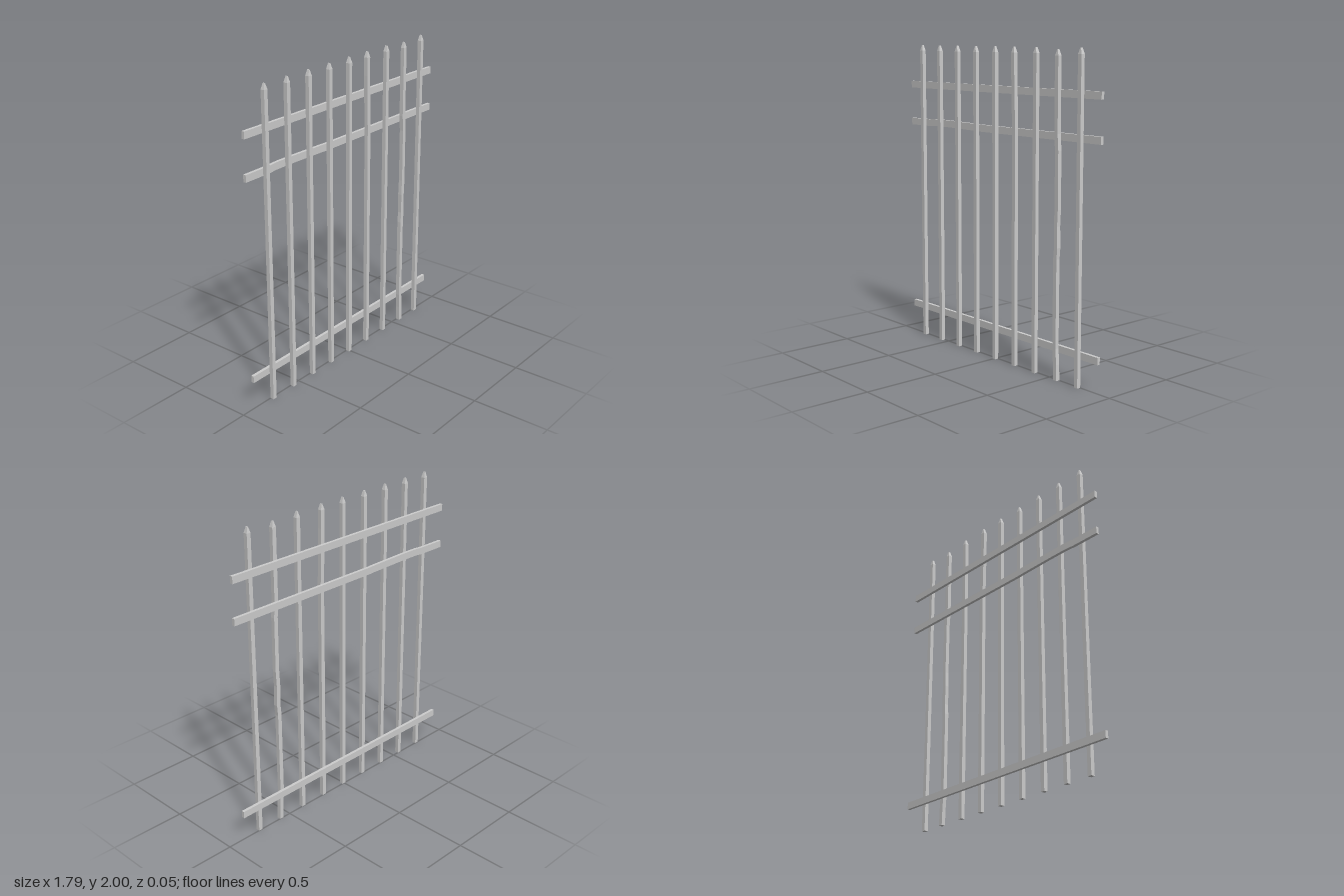
import * as THREE from 'three';

// Piecewise linear lookup through [position, offset] pairs
function offsetAt(path, t) {
  if (t <= path[0][0]) return path[0][1];
  for (let i = 1; i < path.length; i++) {
    const [a, u] = path[i - 1], [b, v] = path[i];
    if (t <= b) return u + (v - u) * (t - a) / (b - a);
  }
  return path[path.length - 1][1];
}

// Square post with a tapered tip, its centre line following a path of [y, x]
function picketGeometry(path, top) {
  const w = 0.028, d = 0.026, levels = [0, 0.1, 0.2, 0.5, 0.75, 0.82, 0.95, 1.05, 1.4, 1.5, 1.62, 1.85, top - 0.036, top];
  const g = new THREE.BoxGeometry(w, 1, d, 1, levels.length - 1, 1);
  const p = g.attributes.position;
  for (let i = 0; i < p.count; i++) {
    const k = Math.round((p.getY(i) + 0.5) * (levels.length - 1));
    const y = levels[k], tip = k === levels.length - 1;
    p.setXYZ(i, p.getX(i) * (tip ? 0.2 : 1) + offsetAt(path, y), y, p.getZ(i) * (tip ? 0.5 : 1));
  }
  const flat = g.toNonIndexed();
  flat.computeVertexNormals();
  return flat;
}

// Flat bar whose height wanders along a path of [x, y]
function railGeometry(path) {
  const g = new THREE.BoxGeometry(1.793, 0.045, 0.02, 36, 1, 1);
  const p = g.attributes.position;
  for (let i = 0; i < p.count; i++) p.setY(i, p.getY(i) + offsetAt(path, p.getX(i)));
  g.computeVertexNormals();
  return g;
}

export function createModel() {
  const model = new THREE.Group();
  const metal = new THREE.MeshStandardMaterial({ color: 0xcccccc });
  metal.name = 'lightGreyMetal';

  const add = (name, geometry, y, z) => {
    const mesh = new THREE.Mesh(geometry, metal);
    mesh.name = name;
    mesh.position.set(0, y, z);
    model.add(mesh);
  };

  // Pickets: most are straight, two are bent
  const bent = {
    5: [[0, 0.188], [1.5, 0.188], [1.62, 0.185], [1.85, 0.179], [2, 0.179]],
    7: [[0, 0.57], [0.1, 0.567], [0.2, 0.56], [0.75, 0.561], [0.82, 0.567],
      [0.95, 0.564], [1.05, 0.569], [1.4, 0.568], [1.5, 0.561], [2, 0.561]],
  };
  for (let i = 0; i < 9; i++) {
    const x = (i - 4) * 0.1865 + 0.002;
    add('picket' + (i + 1), picketGeometry(bent[i] || [[0, x]], i === 7 ? 1.988 : 2), 0, 0.011);
  }

  // Rails along the back; the middle one is slightly buckled
  add('bottomRail', railGeometry([[0, 0]]), 0.194, -0.014);
  add('middleRail', railGeometry([[-0.895, 0], [-0.7, 0.001], [-0.64, 0.006], [-0.5, 0.006],
    [-0.25, 0.002], [-0.2, 0], [0.895, 0]]), 1.482, -0.014);
  add('topRail', railGeometry([[0, 0]]), 1.735, -0.014);
  return model;
}
